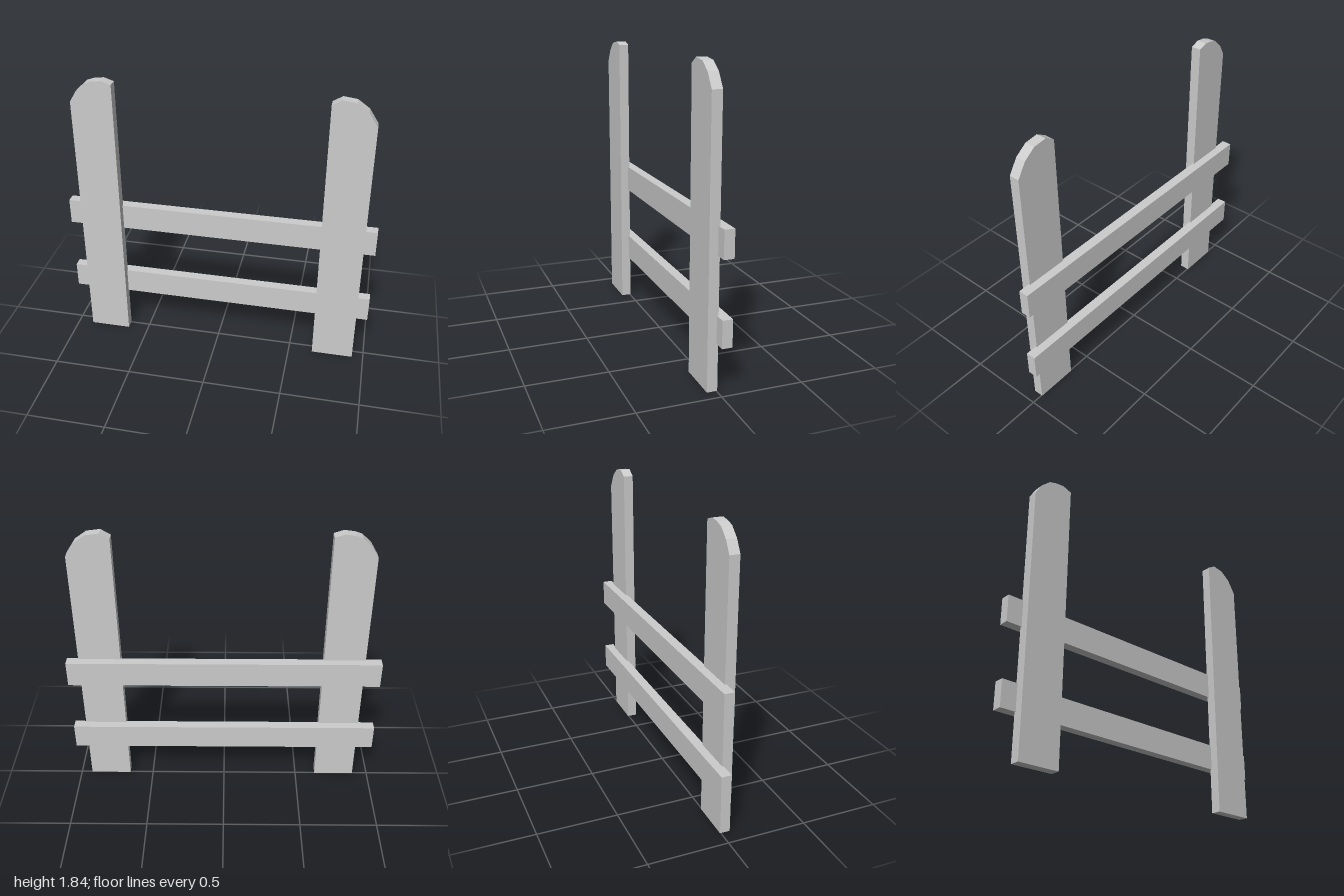
import * as THREE from 'three';

const material = new THREE.MeshStandardMaterial({ color: 0xcccccc, flatShading: true });
const THICKNESS = 0.063;

// Upright plank: straight sides, with a lopsided rounded top listed from left to right
function makePost(name, top) {
  const outline = [[top[0][0], 0], ...top, [top[top.length - 1][0], 0]];
  const shape = new THREE.Shape(outline.map(([x, y]) => new THREE.Vector2(x, y)));
  const geometry = new THREE.ExtrudeGeometry(shape, { depth: THICKNESS, bevelEnabled: false });
  const post = new THREE.Mesh(geometry, material);
  post.name = name;
  post.position.z = -0.005;
  return post;
}

// Horizontal board behind the posts
function makeRail(name, bottom, top) {
  const rail = new THREE.Mesh(new THREE.BoxGeometry(2, top - bottom, THICKNESS), material);
  rail.name = name;
  rail.position.set(0, (bottom + top) / 2, 0.005 - THICKNESS / 2);
  return rail;
}

export function createModel() {
  const fence = new THREE.Group();
  fence.name = 'fence';
  fence.add(
    makePost('rightPost', [
      [-0.9, 1.69], [-0.857, 1.762], [-0.8, 1.815], [-0.755, 1.83], [-0.695, 1.838], [-0.635, 1.818],
    ]),
    makePost('leftPost', [
      [0.658, 1.803], [0.717, 1.838], [0.8, 1.827], [0.87, 1.777], [0.927, 1.69],
    ]),
    makeRail('lowerRail', 0.287, 0.453),
    makeRail('upperRail', 0.797, 0.965),
  );
  return fence;
}
